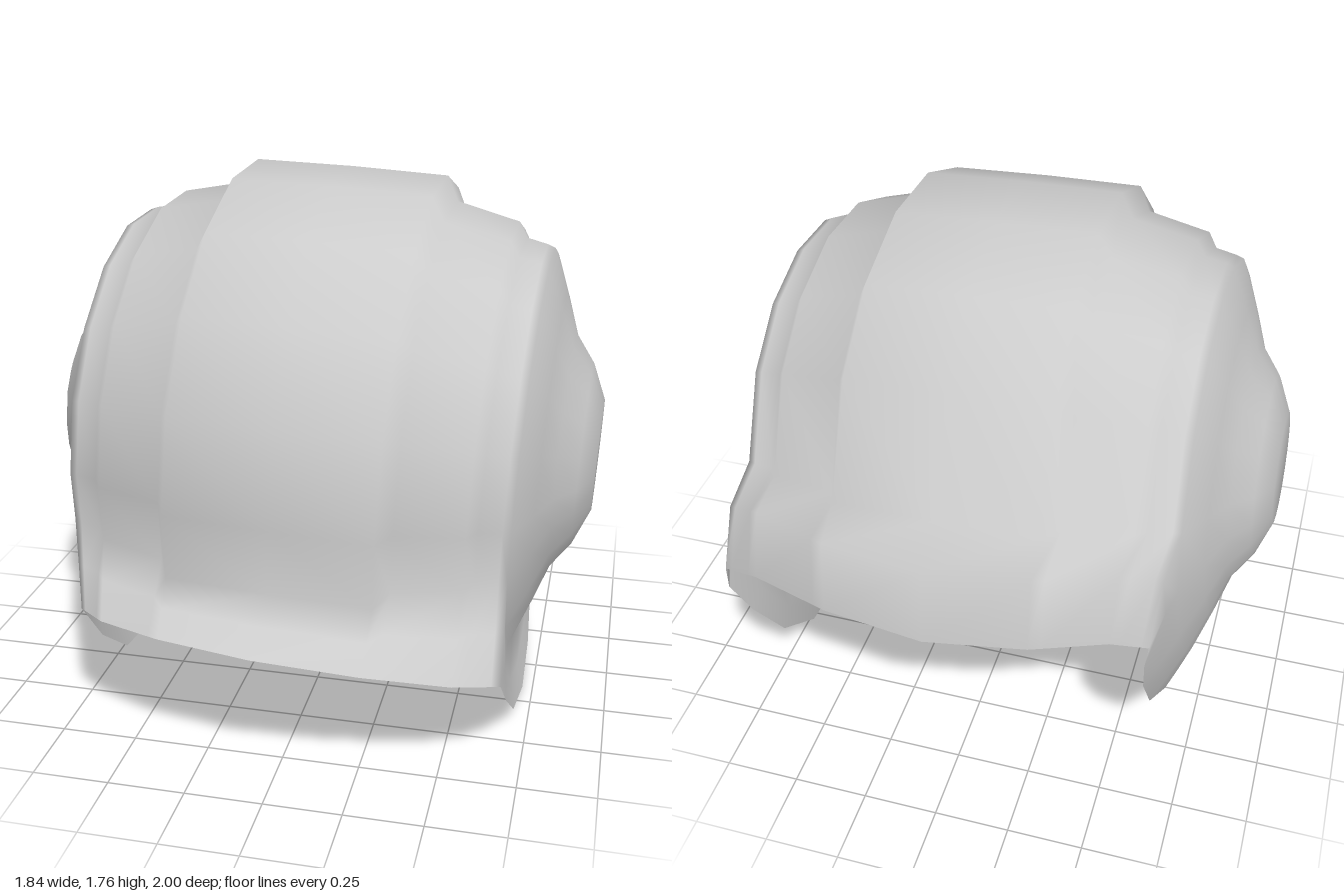
import * as THREE from 'three';
import { mergeGeometries, mergeVertices } from 'three/addons/utils/BufferGeometryUtils.js';

const rad = THREE.MathUtils.degToRad;

// Point on a ring around the side-to-side axis; 0 degrees is the front, 90 the top
const ring = (x, r, deg) => [x, r * Math.sin(rad(deg)), 0.965 * r * Math.cos(rad(deg))];

const mix = (a, b, t) => a.map((v, k) => v + (b[k] - v) * t);

// Point [x, y, z] on an edge given as a list of points with rising x
function along(edge, x) {
  const i = Math.max(1, edge.findIndex(p => p[0] >= x));
  const [a, b] = [edge[i - 1], edge[i]];
  return mix(a, b, (x - a[0]) / (b[0] - a[0]));
}

// Closed band of quads over rows of points; keep(i, j) tells which quads exist
function band(rows, keep) {
  const n = rows[0].length, index = [];
  rows.forEach((row, i) => {
    for (let j = 0; j < n - 1; j++) {
      if (!keep(i, j)) continue;
      const a = i * n + j, b = ((i + 1) % rows.length) * n + j;
      index.push(a, a + 1, b, b, a + 1, b + 1);
    }
  });
  const geometry = new THREE.BufferGeometry();
  geometry.setAttribute('position', new THREE.Float32BufferAttribute(rows.flat(2), 3));
  geometry.setIndex(index);
  return geometry;
}

// Crown with stepped bands over the top, and full round domes over the ears
const earDome = [[0.70, 0.675], [0.755, 0.53], [0.80, 0.40], [0.865, 0.31], [0.915, 0.19], [0.915, 0]];
const crown = [[0.325, 0.878], [0.365, 0.798], [0.575, 0.75], [0.605, 0.70], [0.675, 0.685]];
const brow = -17, nape = 163;

function crownGeometry() {
  const half = [...crown, ...earDome];
  const profile = [...half.map(([x, r]) => [-x, r]).reverse(), [0, 0.882], ...half];
  const angles = [brow, -2, 18, 38, 58, 78, 98, 118, 138, nape,
    182, 202, 222, 242, 262, 282, 302, 322];
  const rows = angles.map(a => profile.map(([x, r]) => ring(x, r, a)));
  const last = angles.indexOf(nape), ears = earDome.length - 1;
  return band(rows, (i, j) => i < last || j < ears || j >= profile.length - 1 - ears);
}

// Rim in one loop: front lip, cheek flanges and back brim
// Each station is [shell edge, middle, free edge]
function rimGeometry() {
  const lip = [[0, -0.38, 1.0], [0.22, -0.385, 0.99], [0.57, -0.43, 0.865], [0.70, -0.455, 0.77]];
  const ledge = [[0, 0.18, -0.955], [0.27, 0.18, -0.93], [0.57, 0.16, -0.81], [0.70, 0.10, -0.74]];
  const brim = [[0, -0.06, -1.0], [0.27, -0.06, -0.97], [0.57, -0.07, -0.86], [0.70, -0.12, -0.80]];
  const columns = [[0, 0.882], ...crown, earDome[0]];

  const front = columns.map(([x, r]) => {
    const inner = ring(x, r, brow), outer = along(lip, x);
    outer[0] *= 0.96;
    return [inner, mix(inner, outer, 0.5), outer];
  });
  // [angle, radius, half width] of the free edge, from the front downwards and back
  const flange = [[-46, 0.88, 0.68], [-66, 0.89, 0.69], [-80, 0.86, 0.70], [-99, 0.83, 0.69],
    [-117, 0.85, 0.67], [-137, 0.85, 0.66], [-156, 0.85, 0.67]].map(([a, r, x], i) => {
    const inner = ring(...earDome[0], 322 - 20 * i), outer = ring(x, r, a);
    return [inner, mix(inner, outer, 0.55), outer];
  });
  const corner = [ring(...earDome[0], 182), [0.71, -0.02, -0.74], [0.69, -0.18, -0.82]];
  const back = columns.map(([x, r]) => [ring(x, r, nape), along(ledge, x), along(brim, x)]).reverse();
  const side = [...front, ...flange, corner, ...back];

  // The free edges lean slightly towards the model's left
  const lean = s => station => station.map(([x, y, z], j) =>
    [s * x + 0.055 * j * x * x, y - 0.015 * j * s * x * (z > 0.7), z]);
  const rows = [...side.map(lean(1)), ...side.slice(1, -1).reverse().map(lean(-1))];
  return band(rows, () => true);
}

export function createModel() {
  const group = new THREE.Group();
  group.name = 'helmet';

  // Crown and rim share their seam, so the shading runs across it
  const geometry = mergeVertices(mergeGeometries([crownGeometry(), rimGeometry()]), 1e-4);
  geometry.computeVertexNormals();
  const shell = new THREE.Mesh(geometry,
    new THREE.MeshStandardMaterial({ color: 0xcccccc, side: THREE.DoubleSide }));
  shell.name = 'helmetShell';

  // The helmet rests slightly tilted
  shell.position.y = 0.87;
  shell.rotation.set(0, -0.016, -0.042);
  group.add(shell);
  return group;
}
